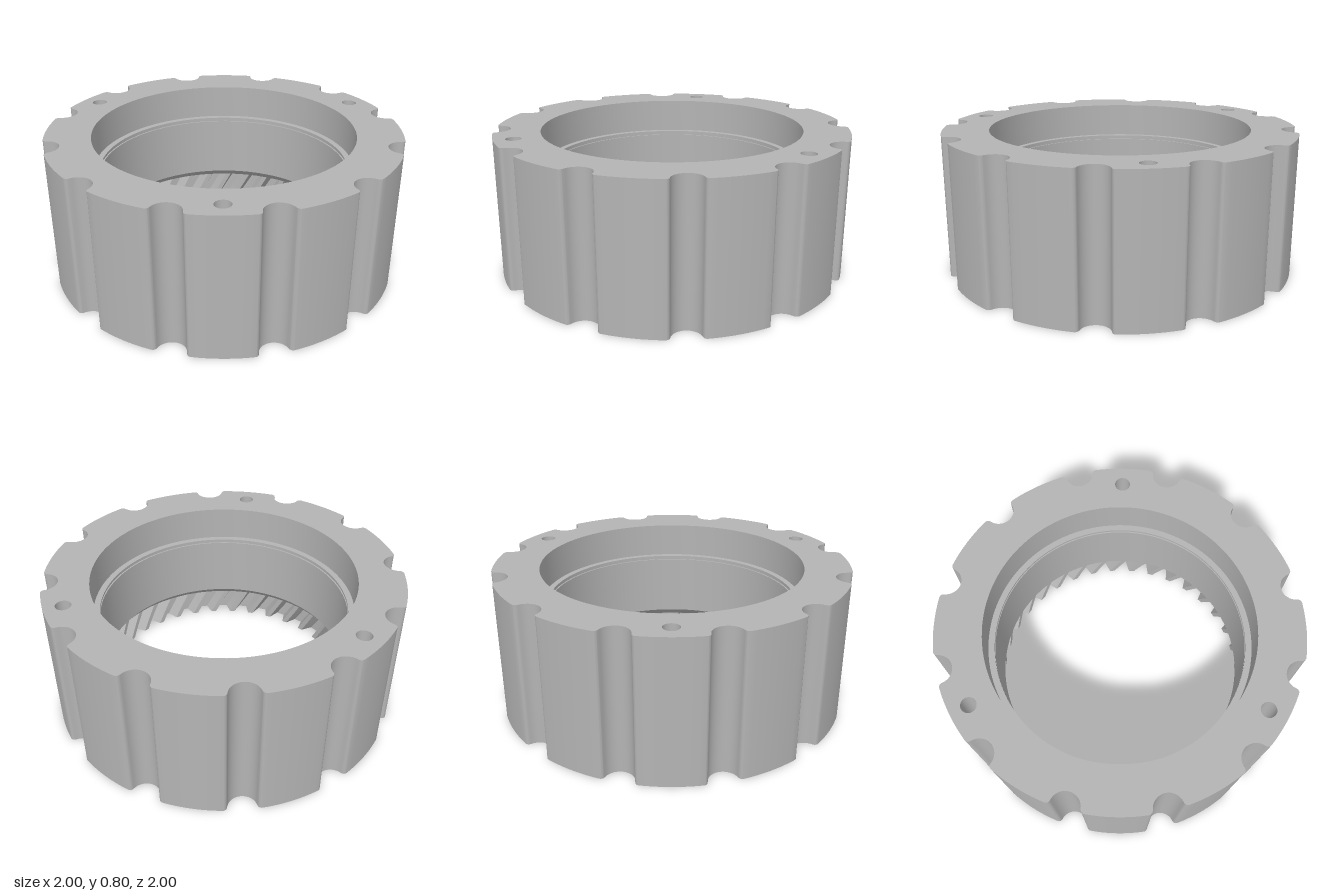
import * as THREE from 'three';
import { toCreasedNormals } from 'three/addons/utils/BufferGeometryUtils.js';

const HEIGHT = 0.8, TEETH_HEIGHT = 0.17;

// Points along an arc, in plan; plan (x, y) maps to world (x, -z).
function arc(cx, cy, r, from, to, steps) {
  return Array.from({ length: steps + 1 }, (_, i) => {
    const a = from + (to - from) * i / steps;
    return new THREE.Vector2(cx + r * Math.cos(a), cy + r * Math.sin(a));
  });
}

// Outer outline: a circle with twelve round notches and filleted corners.
function outerOutline() {
  const R = 1, c = 0.99, r = 0.08, f = 0.022, count = 12;
  const d = R - f, pitch = 2 * Math.PI / count;
  const theta = Math.acos((d * d + c * c - (r + f) ** 2) / (2 * d * c));
  const fx = d * Math.cos(theta), fy = d * Math.sin(theta);
  const alpha = Math.atan2(fy, fx - c);
  const unit = [
    ...arc(fx, -fy, f, -theta, Math.PI - alpha, 6),
    ...arc(c, 0, r, 2 * Math.PI - alpha, alpha, 16).slice(1),
    ...arc(fx, fy, f, alpha - Math.PI, theta, 6).slice(1),
    ...arc(0, 0, R, theta, pitch - theta, 10).slice(1, -1),
  ];
  const points = [], origin = new THREE.Vector2();
  for (let k = 0; k < count; k++) {
    for (const p of unit) points.push(p.clone().rotateAround(origin, (k + 0.5) * pitch));
  }
  return points;
}

// Internal gear outline with trapezoid teeth.
function gearOutline(count, root, tip) {
  const points = [], pitch = 2 * Math.PI / count;
  for (let k = 0; k < count; k++) {
    for (const [t, r] of [[-0.18, root], [0.18, root], [0.38, tip], [0.62, tip]]) {
      const a = (k + t) * pitch;
      points.push(new THREE.Vector2(r * Math.cos(a), r * Math.sin(a)));
    }
  }
  return points;
}

// Wall over a closed outline; counter-clockwise points face outward.
function wall(points, y0, y1, twist = 0, steps = 1) {
  const pos = [], n = points.length, origin = new THREE.Vector2();
  const at = (i, s) => {
    const p = points[i % n].clone().rotateAround(origin, twist * s / steps);
    return [p.x, y0 + (y1 - y0) * s / steps, -p.y];
  };
  for (let s = 0; s < steps; s++) {
    for (let i = 0; i < n; i++) {
      const a = at(i, s), b = at(i + 1, s), c = at(i + 1, s + 1), d = at(i, s + 1);
      pos.push(...a, ...b, ...c, ...a, ...c, ...d);
    }
  }
  const g = new THREE.BufferGeometry();
  g.setAttribute('position', new THREE.Float32BufferAttribute(pos, 3));
  return toCreasedNormals(g, 0.5);
}

// Flat end face with holes, facing up or down.
function endFace(outline, holes, y, up) {
  const shape = new THREE.Shape(outline);
  for (const h of holes) shape.holes.push(new THREE.Path(h));
  const g = new THREE.ShapeGeometry(shape).rotateX(-Math.PI / 2).translate(0, y, 0);
  if (!up) {
    g.index.array.reverse();
    g.computeVertexNormals();
  }
  return g;
}

export function createModel() {
  const group = new THREE.Group();
  group.name = 'ringGear';
  const steel = new THREE.MeshStandardMaterial({ color: 0xb4b4b4 });
  steel.name = 'steel grey';
  const add = (name, geometry) => {
    const mesh = new THREE.Mesh(geometry, steel);
    mesh.name = name;
    group.add(mesh);
  };

  const outline = outerOutline();
  const gear = gearOutline(36, 0.81, 0.74);
  const bore = arc(0, 0, 0.74, 0, 2 * Math.PI, 128).slice(0, -1);
  const pins = [0, 1, 2].map(k => {
    const a = k * 2 * Math.PI / 3;
    return arc(0.893 * Math.cos(a), 0.893 * Math.sin(a), 0.043, 0, 2 * Math.PI, 24).slice(0, -1);
  });

  // Notched outside and end faces
  add('outerWall', wall(outline, 0, HEIGHT));
  add('topFace', endFace(outline, [bore, ...pins], HEIGHT, true));
  add('bottomFace', endFace(outline, [gear, ...pins], 0, false));

  // Through holes
  for (const pin of pins) add('pinHole', wall([...pin].reverse(), 0, HEIGHT));

  // Helical internal teeth
  add('helicalTeeth', wall([...gear].reverse(), 0, TEETH_HEIGHT, -0.125, 6));

  // Stepped bore: ledge, fine groove, chamfer and ceiling over the teeth
  const profile = [
    [0.74, HEIGHT], [0.74, 0.6], [0.705, 0.6], [0.705, 0.588], [0.713, 0.588],
    [0.713, 0.575], [0.705, 0.575], [0.705, 0.21], [0.74, TEETH_HEIGHT], [0.82, TEETH_HEIGHT],
  ].map(([r, y]) => new THREE.Vector2(r, y));
  add('steppedBore', toCreasedNormals(new THREE.LatheGeometry(profile, 128), 0.5));

  return group;
}
